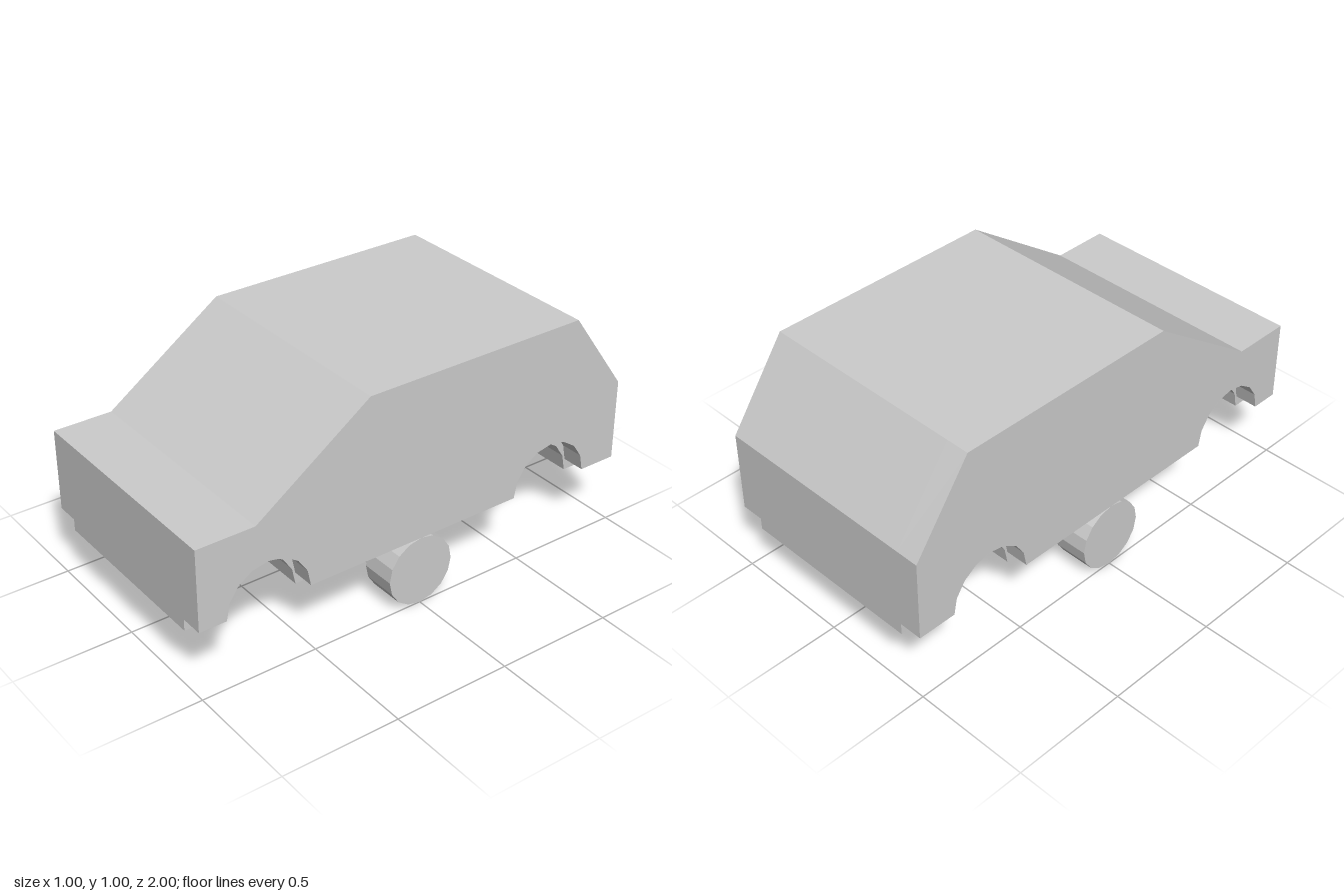
import * as THREE from 'three';

const material = new THREE.MeshStandardMaterial({ color: 0xcccccc, flatShading: true });
const ARCH_RADIUS = 0.183;
const ARCH_CENTRES = [-0.65, 0.7];

// Side profile in (z, y) with two faceted wheel arches cut into its underside
function bodyProfile(bottom) {
  const points = [[1, bottom], [1, 0.65], [0.75, 0.65], [0.25, 1], [-0.75, 1], [-1, 0.65], [-1, bottom]];
  for (const centre of ARCH_CENTRES) {
    for (let i = 0; i <= 8; i++) {
      const a = Math.PI * (1 - i / 8);
      points.push([centre + ARCH_RADIUS * Math.cos(a), bottom + ARCH_RADIUS * Math.sin(a)]);
    }
  }
  return new THREE.Shape(points.map(([z, y]) => new THREE.Vector2(z, y)));
}

// Extrude a profile across the car from x0 to x1
function bodySlab(name, bottom, x0, x1) {
  const geometry = new THREE.ExtrudeGeometry(bodyProfile(bottom), { depth: x1 - x0, bevelEnabled: false });
  geometry.rotateY(-Math.PI / 2).translate(x1, 0, 0);
  const mesh = new THREE.Mesh(geometry, material);
  mesh.name = name;
  return mesh;
}

export function createModel() {
  const model = new THREE.Group();
  model.name = 'car';

  // Central body reaches lower than the side panels
  model.add(bodySlab('body', 0.25, -0.4, 0.4));
  model.add(bodySlab('leftSidePanel', 0.3, 0.4, 0.5));
  model.add(bodySlab('rightSidePanel', 0.3, -0.5, -0.4));

  // Wheels, one on each side at the middle of the car
  const wheelGeometry = new THREE.CylinderGeometry(0.15, 0.15, 0.15, 16).rotateZ(Math.PI / 2);
  for (const side of [1, -1]) {
    const wheel = new THREE.Mesh(wheelGeometry, material);
    wheel.name = side > 0 ? 'leftWheel' : 'rightWheel';
    wheel.position.set(side * 0.425, 0.15, 0);
    model.add(wheel);
  }
  return model;
}
